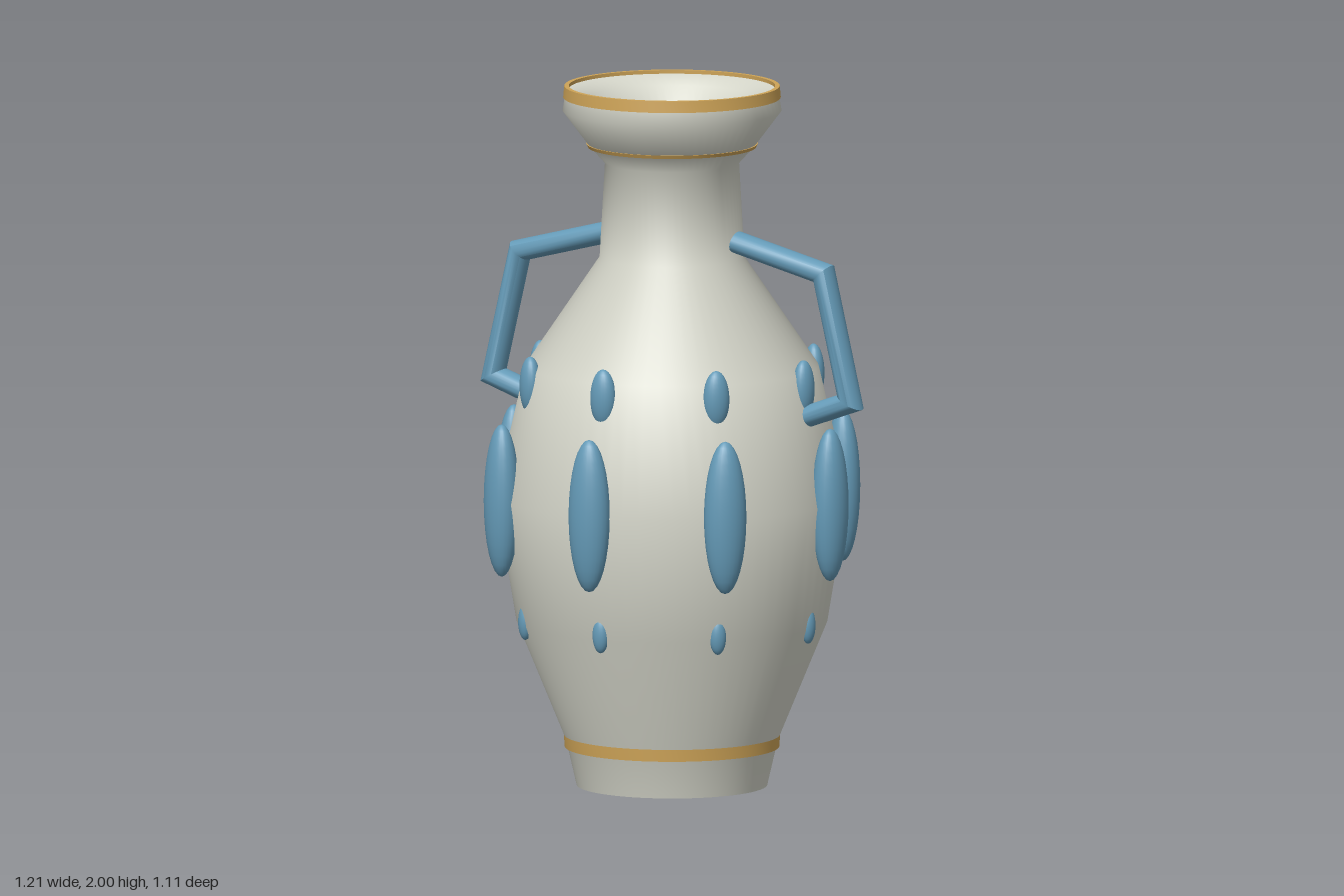
import * as THREE from 'three';
import { toCreasedNormals } from 'three/addons/utils/BufferGeometryUtils.js';

const material = (color) => new THREE.MeshStandardMaterial({ color });
const clay = material(0xd6d7cb);
const blue = material(0x659bb8);
const gold = material(0xcda357);

function addMesh(parent, name, geometry, mat) {
  const mesh = new THREE.Mesh(geometry, mat);
  mesh.name = name;
  parent.add(mesh);
  return mesh;
}

function lathe(profile, crease) {
  const points = profile.map(([r, y]) => new THREE.Vector2(r, y));
  return toCreasedNormals(new THREE.LatheGeometry(points, 64), crease);
}

// Sweeps an oval section along a flat path in the xy plane, mitred at each bend
function mitredBar(path, halfThick, halfDepth, sides = 20) {
  const pts = path.map(([x, y]) => new THREE.Vector2(x, y));
  const dirs = pts.slice(1).map((p, i) => p.clone().sub(pts[i]).normalize());
  const positions = [];
  const index = [];
  pts.forEach((p, i) => {
    const a = dirs[Math.max(i - 1, 0)];
    const b = dirs[Math.min(i, dirs.length - 1)];
    const t = a.clone().add(b).normalize();
    const reach = halfThick / t.dot(a);
    for (let s = 0; s < sides; s++) {
      const angle = (s / sides) * Math.PI * 2;
      const u = Math.cos(angle) * reach;
      positions.push(p.x - t.y * u, p.y + t.x * u, Math.sin(angle) * halfDepth);
    }
  });
  for (let i = 0; i < dirs.length; i++) {
    for (let s = 0; s < sides; s++) {
      const a = i * sides + s;
      const b = i * sides + ((s + 1) % sides);
      index.push(a, b, a + sides, b, b + sides, a + sides);
    }
  }
  // End caps
  const last = (pts.length - 1) * sides;
  for (let s = 1; s < sides - 1; s++) {
    index.push(0, s + 1, s, last, last + s, last + s + 1);
  }
  const geometry = new THREE.BufferGeometry();
  geometry.setAttribute('position', new THREE.Float32BufferAttribute(positions, 3));
  geometry.setIndex(index);
  return toCreasedNormals(geometry, 0.6);
}

export function createModel() {
  const vase = new THREE.Group();
  vase.name = 'vase';

  // Hollow body: up the outside, over the lip, down the inside
  addMesh(vase, 'body', lathe([
    [0, 0], [0.27, 0], [0.3, 0.13], [0.44, 0.47], [0.5, 0.83], [0.415, 1.2],
    [0.205, 1.51], [0.19, 1.78], [0.235, 1.83], [0.31, 1.93], [0.3, 1.99],
    [0.285, 1.99], [0.235, 1.965], [0.19, 1.89], [0.16, 1.77], [0.165, 1.5],
    [0.36, 1.2], [0.44, 0.83], [0.38, 0.47], [0.24, 0.12], [0, 0.12],
  ], 0.95), clay);

  // Gilded bands: [name, inner radius, bottom radius, top radius, bottom y, top y]
  const bands = [
    ['footBand', 0.27, 0.304, 0.306, 0.11, 0.147],
    ['collarBand', 0.22, 0.238, 0.243, 1.825, 1.835],
    ['rimBand', 0.292, 0.308, 0.305, 1.967, 2.0],
  ];
  for (const [name, inner, low, high, y0, y1] of bands) {
    addMesh(vase, name, lathe(
      [[inner, y0], [low, y0], [high, y1], [inner, y1], [inner, y0]], 0.6), gold);
  }

  // Rows of oval beads: [name, distance from axis, y, half width, half height, half depth]
  const rows = [
    ['upperBead', 0.42, 1.16, 0.038, 0.083, 0.03],
    ['middleBead', 0.505, 0.835, 0.061, 0.218, 0.05],
    ['lowerBead', 0.435, 0.485, 0.024, 0.052, 0.02],
  ];
  const beadGeometry = new THREE.SphereGeometry(1, 24, 16);
  for (const [name, r, y, w, h, d] of rows) {
    for (let i = 0; i < 8; i++) {
      const angle = (i * Math.PI) / 4;
      const bead = addMesh(vase, name, beadGeometry, blue);
      bead.position.set(Math.sin(angle) * r, y, Math.cos(angle) * r);
      bead.rotation.y = angle;
      bead.scale.set(w, h, d);
    }
  }

  // Angular handles, one on each side
  const handle = mitredBar(
    [[0.205, 1.567], [0.485, 1.495], [0.57, 1.133], [0.41, 1.075]], 0.031, 0.04);
  addMesh(vase, 'leftHandle', handle, blue);
  addMesh(vase, 'rightHandle', handle, blue).rotation.y = Math.PI;

  return vase;
}
